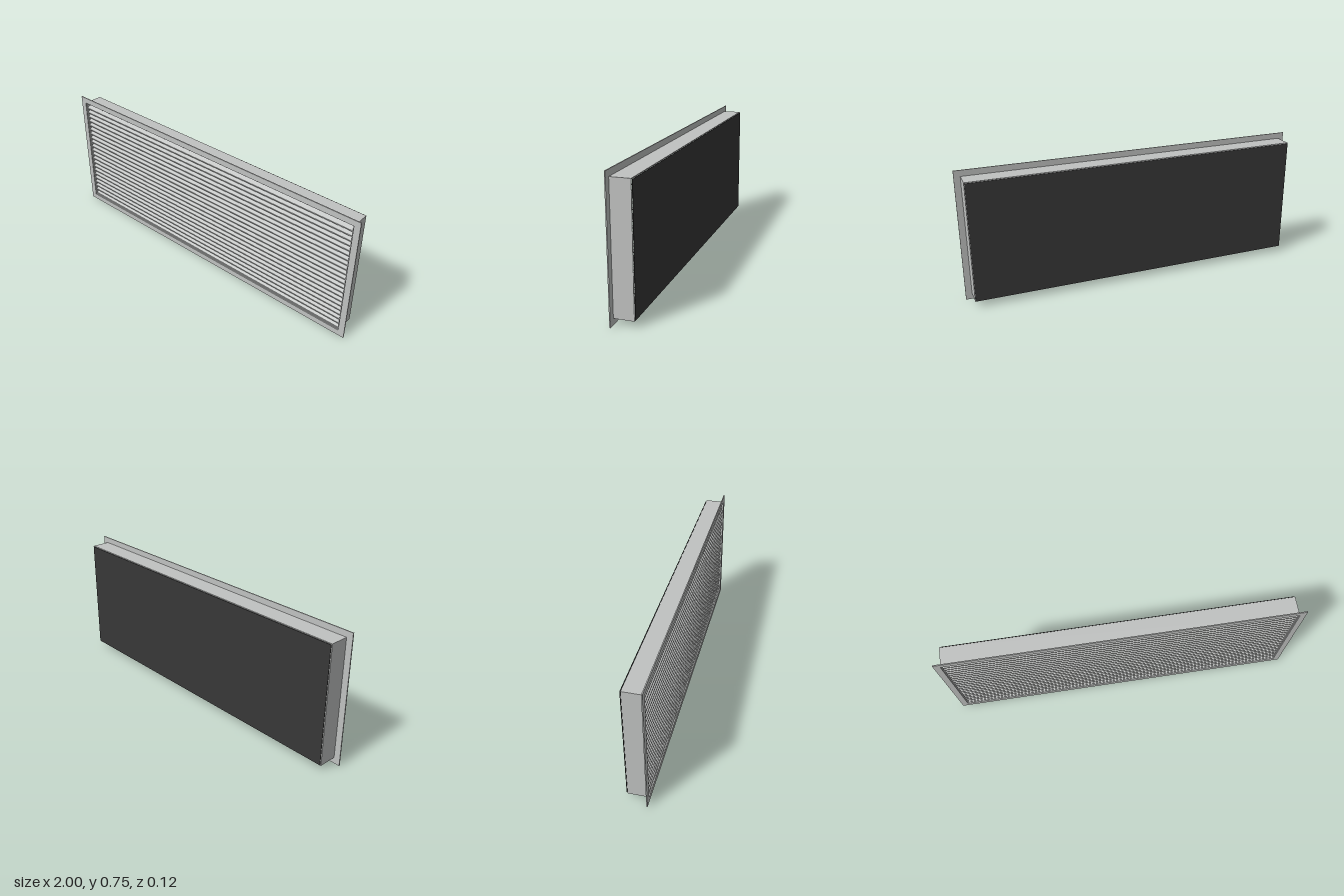
import * as THREE from 'three';

const MID_Y = 0.376;

// Rectangular ring (outer w x h, hole w x h) extruded from z0 to z1
function ring(w, h, holeW, holeH, z0, z1) {
  const rect = (T, a, b) => {
    const p = new T();
    p.moveTo(-a / 2, -b / 2);
    p.lineTo(a / 2, -b / 2);
    p.lineTo(a / 2, b / 2);
    p.lineTo(-a / 2, b / 2);
    p.closePath();
    return p;
  };
  const shape = rect(THREE.Shape, w, h);
  shape.holes.push(rect(THREE.Path, holeW, holeH));
  const g = new THREE.ExtrudeGeometry(shape, { depth: z1 - z0, bevelEnabled: false });
  return g.translate(0, MID_Y, z0);
}

export function createModel() {
  const group = new THREE.Group();
  const metal = new THREE.MeshStandardMaterial({ color: 0xc0c2c1 });
  metal.name = 'light grey metal';
  const dark = new THREE.MeshStandardMaterial({ color: 0x373737 });
  dark.name = 'dark mesh';

  const add = (geometry, material, name) => {
    const mesh = new THREE.Mesh(geometry, material);
    mesh.name = name;
    group.add(mesh);
    return mesh;
  };

  // Front flange and the sleeve that sits in the wall
  add(ring(2, 0.752, 1.93, 0.684, 0.053, 0.059), metal, 'flange');
  add(ring(1.93, 0.684, 1.92, 0.674, -0.053, 0.053), metal, 'sleeve');

  // Dark insect screen behind the sleeve
  add(new THREE.BoxGeometry(1.924, 0.676, 0.003), dark, 'backScreen')
    .position.set(0, MID_Y, -0.057);

  // Louvre blades: sloping down to the front, with a small vertical front lip
  const profile = new THREE.Shape();
  [[0, 0], [0, 0.006], [-0.045, 0.034], [-0.045, 0.030], [-0.004, 0.004], [-0.004, 0]]
    .forEach(([z, y], i) => (i ? profile.lineTo(-z, y) : profile.moveTo(-z, y)));
  profile.closePath();
  const blade = new THREE.ExtrudeGeometry(profile, { depth: 1.92, bevelEnabled: false });
  blade.rotateY(Math.PI / 2).translate(-0.96, 0, 0);

  const count = 22;
  const pitch = 0.0303;
  const blades = new THREE.Group();
  blades.name = 'louvreBlades';
  for (let i = 0; i < count; i++) {
    const mesh = new THREE.Mesh(blade, metal);
    mesh.name = 'blade';
    mesh.position.set(0, 0.041 + i * pitch, 0.052);
    blades.add(mesh);
  }
  group.add(blades);
  return group;
}
